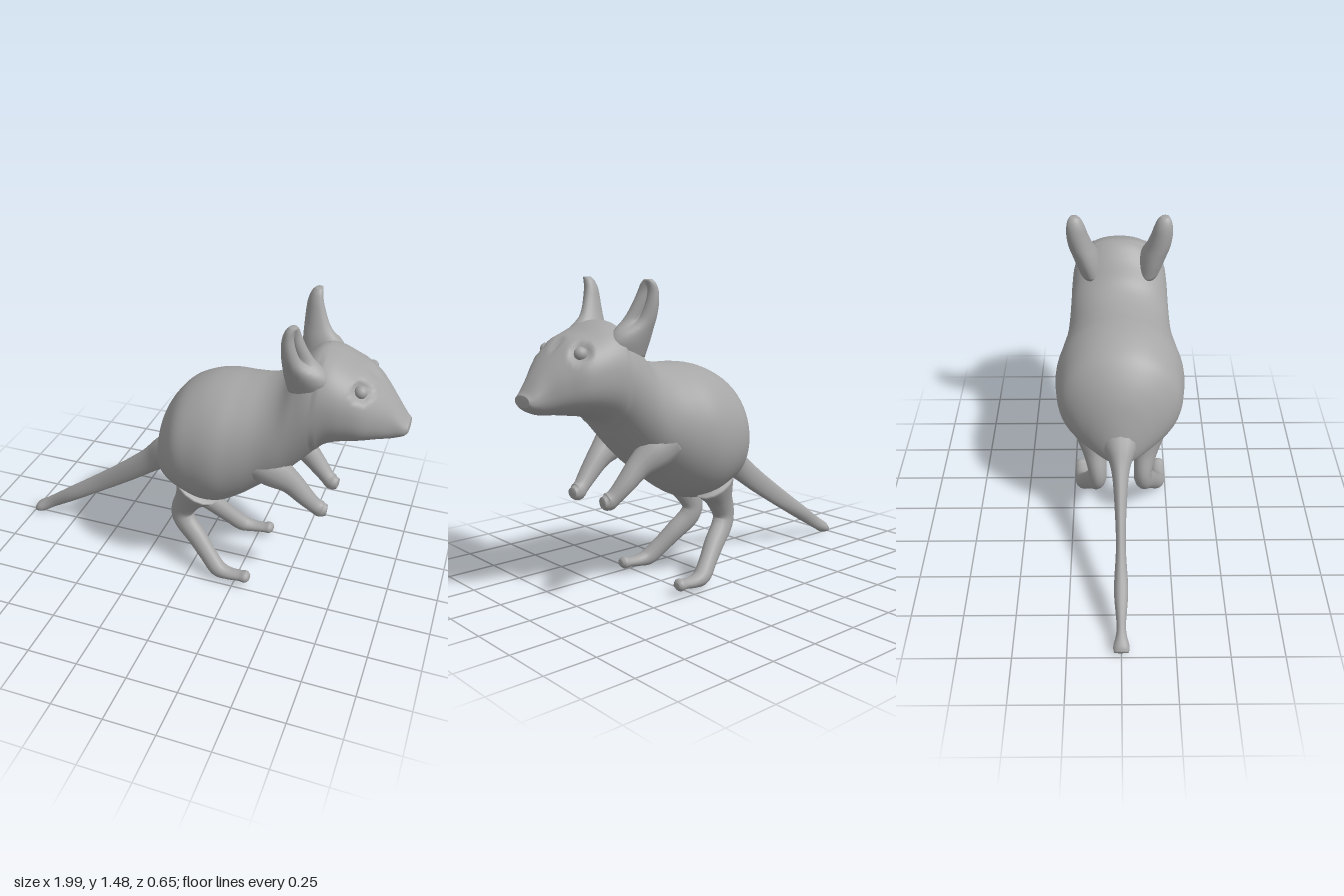
import * as THREE from 'three';

const V = (x, y, z) => new THREE.Vector3(x, y, z);

// Smooth skin over a list of rings, closed at both ends and always facing outward
function loft(rings) {
  const n = rings[0].length, pos = [], index = [];
  rings.forEach(r => r.forEach(p => pos.push(p.x, p.y, p.z)));
  for (let i = 0; i < rings.length - 1; i++) {
    for (let j = 0; j < n; j++) {
      const a = i * n + j, b = i * n + (j + 1) % n;
      index.push(a, b, a + n, b, b + n, a + n);
    }
  }
  [0, rings.length - 1].forEach((i, end) => {
    const c = rings[i].reduce((s, p) => s.add(p), V(0, 0, 0)).divideScalar(n);
    const k = pos.length / 3;
    pos.push(c.x, c.y, c.z);
    for (let j = 0; j < n; j++) {
      const a = i * n + j, b = i * n + (j + 1) % n;
      index.push(k, end ? a : b, end ? b : a);
    }
  });
  // Flip the faces when the enclosed volume is negative
  const at = i => V(pos[3 * i], pos[3 * i + 1], pos[3 * i + 2]);
  let volume = 0;
  for (let i = 0; i < index.length; i += 3) {
    volume += at(index[i]).dot(at(index[i + 1]).cross(at(index[i + 2])));
  }
  if (volume < 0) index.reverse();
  const g = new THREE.BufferGeometry();
  g.setAttribute('position', new THREE.Float32BufferAttribute(pos, 3));
  g.setIndex(index);
  g.computeVertexNormals();
  return g;
}

// Tapering limb: each row is x, y, z, radius in the side plane, radius across
function limb(rows, mirror = 1, steps = 36, sides = 14) {
  const path = new THREE.CatmullRomCurve3(rows.map(r => V(r[0], r[1], r[2] * mirror)), false, 'catmullrom');
  const size = new THREE.CatmullRomCurve3(rows.map(r => V(r[3], r[4] ?? r[3], 0)), false, 'catmullrom');
  const rings = [];
  for (let i = 0; i <= steps; i++) {
    const t = i / steps, c = path.getPoint(t), r = size.getPoint(t), d = path.getTangent(t);
    const up = V(0, 0, 1).cross(d).normalize();
    const across = d.clone().cross(up);
    const ring = [];
    for (let j = 0; j < sides; j++) {
      const a = j / sides * Math.PI * 2;
      ring.push(c.clone().addScaledVector(up, Math.cos(a) * r.x).addScaledVector(across, Math.sin(a) * r.y));
    }
    rings.push(ring);
  }
  return loft(rings);
}

// Trunk and head: x, top, bottom, half width
const BODY = [
  [-0.22, 0.65, 0.50, 0.05], [-0.20, 0.75, 0.475, 0.10], [-0.17, 0.85, 0.465, 0.16],
  [-0.12, 0.94, 0.46, 0.235], [-0.05, 1.015, 0.445, 0.298], [0.05, 1.065, 0.41, 0.320],
  [0.15, 1.085, 0.42, 0.325], [0.25, 1.09, 0.475, 0.302], [0.35, 1.105, 0.555, 0.275],
  [0.43, 1.15, 0.62, 0.262], [0.50, 1.24, 0.69, 0.253], [0.57, 1.30, 0.77, 0.248],
  [0.64, 1.298, 0.85, 0.240], [0.72, 1.265, 0.885, 0.228], [0.80, 1.23, 0.90, 0.203],
  [0.87, 1.165, 0.91, 0.150], [0.93, 1.095, 0.915, 0.097], [0.98, 1.025, 0.935, 0.070],
  [1.00, 1.005, 0.955, 0.055],
];

function bodyGeometry() {
  const line = new THREE.CatmullRomCurve3(BODY.map(b => V(b[0], b[1], b[2])), false, 'catmullrom');
  const width = new THREE.CatmullRomCurve3(BODY.map(b => V(b[3], 0, 0)), false, 'catmullrom');
  const rings = [], steps = 108, sides = 56;
  for (let i = 0; i <= steps; i++) {
    const p = line.getPoint(i / steps), w = width.getPoint(i / steps).x;
    const mid = (p.y + p.z) / 2, half = (p.y - p.z) / 2;
    const round = 2 / (p.x > 0.6 ? 2.25 : 2.05);
    const ring = [];
    for (let j = 0; j < sides; j++) {
      const a = j / sides * Math.PI * 2, c = Math.cos(a), s = Math.sin(a);
      const v = V(p.x,
        mid + half * Math.sign(c) * Math.abs(c) ** round,
        w * Math.sign(s) * Math.abs(s) ** round);
      // Press in the two eye sockets
      const eye = V(0.8, 1.19, Math.sign(v.z) * 0.15);
      const d = v.distanceTo(eye) / 0.055;
      if (d < 1) v.add(V(-0.015, -0.012, -0.022 * Math.sign(v.z)).multiplyScalar(1 - d ** 3));
      ring.push(v);
    }
    rings.push(ring);
  }
  return loft(rings);
}

// Cupped ear: y, back x, front x, inner z, outer z, depth of the cup
const EAR = [
  [1.14, 0.46, 0.66, 0.08, 0.20, 0], [1.21, 0.447, 0.655, 0.095, 0.225, 0],
  [1.265, 0.442, 0.645, 0.11, 0.245, 0.25], [1.32, 0.44, 0.60, 0.135, 0.262, 0.75],
  [1.38, 0.44, 0.565, 0.157, 0.271, 0.9], [1.43, 0.445, 0.54, 0.172, 0.270, 0.8],
  [1.465, 0.458, 0.525, 0.187, 0.262, 0.5], [1.485, 0.475, 0.51, 0.205, 0.245, 0],
];

function earGeometry(side) {
  const curves = [[1, 2], [3, 4], [0, 5]].map(([a, b]) =>
    new THREE.CatmullRomCurve3(EAR.map(e => V(e[a], e[b], 0)), false, 'catmullrom'));
  const rings = [], steps = 28, sides = 28, facing = 0.55;
  for (let i = 0; i <= steps; i++) {
    const [x, z, h] = curves.map(c => c.getPoint(i / steps));
    const ring = [];
    for (let j = 0; j < sides; j++) {
      const a = j / sides * Math.PI * 2;
      const front = Math.max(0, Math.cos(a - facing));
      const r = 1 - Math.max(0, h.y) * 1.15 * front ** 1.5;
      ring.push(V(
        (x.x + x.y) / 2 + (x.y - x.x) / 2 * Math.cos(a) * r,
        h.x,
        side * ((z.x + z.y) / 2 + (z.y - z.x) / 2 * Math.sin(a) * r)));
    }
    rings.push(ring);
  }
  return loft(rings);
}

const ARM = [
  [0.34, 0.75, 0.175, 0.09], [0.42, 0.70, 0.165, 0.085, 0.075], [0.50, 0.645, 0.15, 0.06, 0.055],
  [0.57, 0.575, 0.14, 0.046], [0.62, 0.525, 0.128, 0.038], [0.65, 0.505, 0.12, 0.042, 0.036],
  [0.68, 0.503, 0.117, 0.026],
];
const LEG = [
  [0.03, 0.50, 0.15, 0.12, 0.08], [-0.02, 0.41, 0.13, 0.075, 0.06], [-0.062, 0.32, 0.117, 0.06, 0.047],
  [-0.045, 0.255, 0.122, 0.058, 0.047], [0.03, 0.185, 0.148, 0.052, 0.046], [0.10, 0.115, 0.178, 0.046, 0.042],
  [0.16, 0.062, 0.202, 0.044, 0.042], [0.22, 0.050, 0.210, 0.030, 0.036], [0.28, 0.054, 0.212, 0.024, 0.034],
  [0.315, 0.057, 0.215, 0.030, 0.034], [0.333, 0.057, 0.215, 0.015, 0.02],
];
const TAIL = [
  [-0.13, 0.60, 0, 0.12, 0.13], [-0.20, 0.565, 0, 0.085, 0.08], [-0.28, 0.50, 0, 0.067, 0.045],
  [-0.42, 0.395, 0, 0.058, 0.030], [-0.58, 0.285, 0, 0.050, 0.024], [-0.75, 0.172, 0, 0.042, 0.034],
  [-0.89, 0.080, 0, 0.034, 0.022], [-0.96, 0.035, 0, 0.031, 0.038], [-0.985, 0.02, 0, 0.018, 0.034],
];

export function createModel() {
  const model = new THREE.Group();
  const grey = new THREE.MeshStandardMaterial({ color: 0xa6a6a6 });
  grey.name = 'plain grey';
  const add = (name, geometry) => {
    const mesh = new THREE.Mesh(geometry, grey);
    mesh.name = name;
    model.add(mesh);
    return mesh;
  };

  add('bodyAndHead', bodyGeometry());
  add('tail', limb(TAIL, 1, 48));

  // Paired parts on either side of the spine
  for (const [label, side] of [['near', 1], ['far', -1]]) {
    add(label + 'Ear', earGeometry(side));
    add(label + 'ForeLeg', limb(ARM, side));
    add(label + 'HindLeg', limb(LEG, side, 50));
    add(label + 'Eye', new THREE.SphereGeometry(0.03, 16, 12)).position.set(0.785, 1.177, side * 0.131);
  }
  return model;
}
